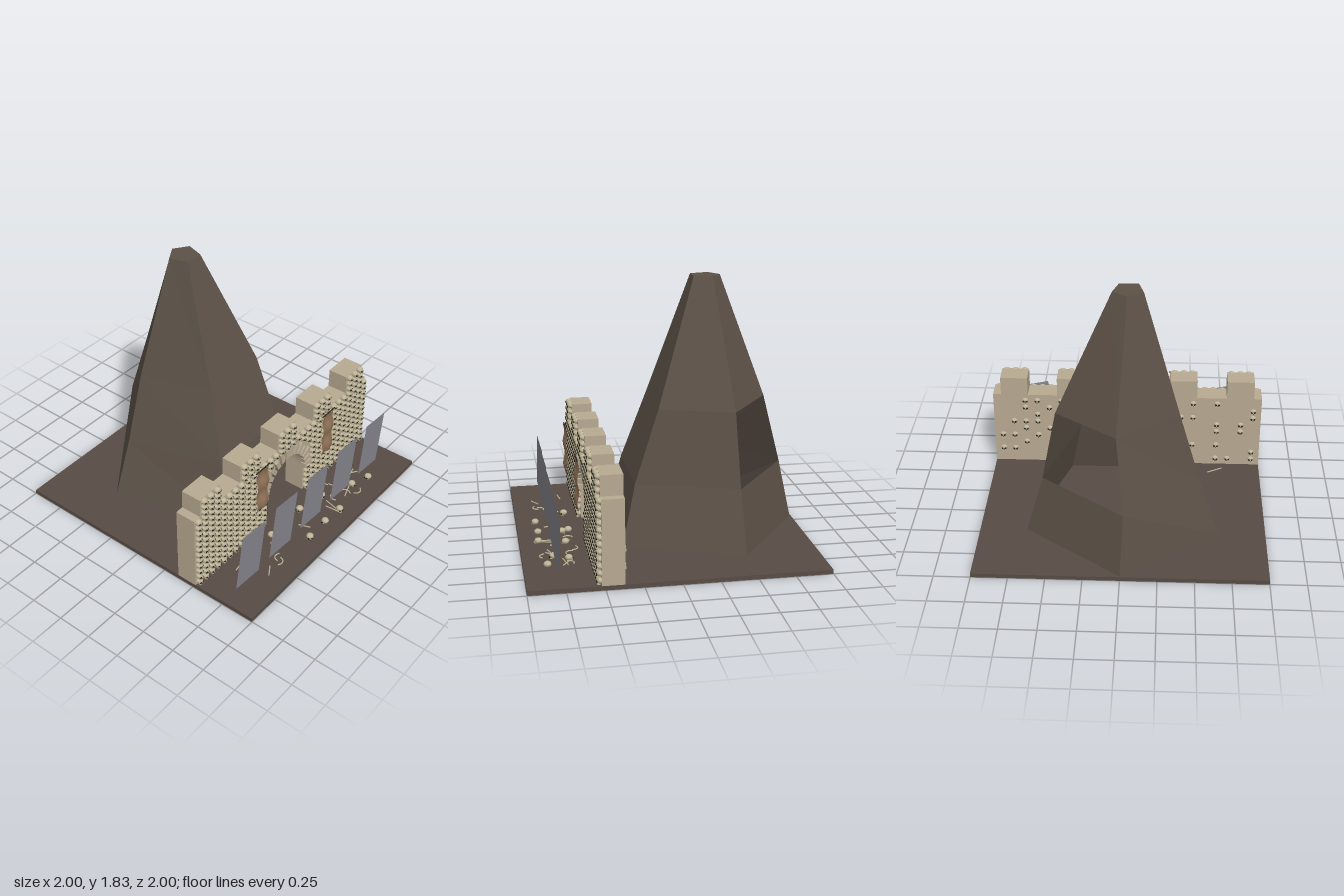
import * as THREE from 'three';
import { mergeGeometries } from 'three/addons/utils/BufferGeometryUtils.js';

const mat = (name, color, side = THREE.FrontSide, flatShading = false) => {
  const m = new THREE.MeshStandardMaterial({ color, side, flatShading });
  m.name = name;
  return m;
};

export function createModel() {
  const root = new THREE.Group();
  const rock = mat('rock', 0x5c5147, THREE.DoubleSide, true);
  const earth = mat('earth', 0x584c44);
  const stone = mat('wall stone', 0xb8aa92);
  const bone = mat('bone', 0xbfb598);
  const dark = mat('socket', 0x2b2620, THREE.DoubleSide);
  const slate = mat('slate', 0x85858c, THREE.DoubleSide);
  const cloth = mat('cloth', 0x937459, THREE.DoubleSide);

  const add = (name, geometry, material, parent = root) => {
    const m = new THREE.Mesh(geometry, material);
    m.name = name;
    parent.add(m);
    return m;
  };
  let seed = 7;
  const rand = () => (seed = (seed * 16807) % 2147483647) / 2147483647;

  add('ground', new THREE.BoxGeometry(2, 0.03, 2).translate(0, 0.015, 0), earth);

  // Five-sided peak: rings of [x, z], starting at the back corner
  const rings = [
    [0.03, [0, -0.99], [0.67, -0.5], [0.41, 0.31], [-0.41, 0.31], [-0.67, -0.5]],
    [0.46, [-0.02, -0.9], [0.55, -0.48], [0.33, 0.21], [-0.33, 0.21], [-0.53, -0.475]],
    [0.97, [0.03, -0.76], [0.45, -0.46], [0.29, 0.04], [-0.225, 0.04], [-0.385, -0.46]],
    [1.83, [-0.03, -0.445], [0.07, -0.375], [0.03, -0.25], [-0.1, -0.25], [-0.135, -0.38]],
  ];
  const pos = [];
  const point = (r, i) => pos.push(rings[r][1 + (i % 5)][0], rings[r][0], rings[r][1 + (i % 5)][1]);
  for (let r = 0; r < 3; r++) {
    for (let i = 0; i < 5; i++) {
      if (r === 1 && i === 0) continue; // open cave panel at the rear
      for (const [dr, di] of [[0, 0], [1, 0], [1, 1], [0, 0], [1, 1], [0, 1]]) point(r + dr, i + di);
    }
  }
  for (let i = 1; i < 4; i++) [0, i + 1, i].forEach((k) => point(3, k));
  const peak = new THREE.BufferGeometry();
  peak.setAttribute('position', new THREE.Float32BufferAttribute(pos, 3));
  peak.computeVertexNormals();
  add('mountain', peak, rock);

  // Crenellated wall with an arched gate
  const merlons = [-0.84, -0.42, 0, 0.42, 0.84];
  const archY = 0.27, archR = 0.225;
  const s = new THREE.Shape();
  s.moveTo(-1, 0.03);
  s.lineTo(-archR, 0.03);
  s.lineTo(-archR, archY);
  s.absarc(0, archY, archR, Math.PI, 0, true);
  s.lineTo(archR, 0.03);
  s.lineTo(1, 0.03);
  s.lineTo(1, 0.61);
  for (const x of [...merlons].reverse()) {
    s.lineTo(x + 0.1, 0.61);
    s.lineTo(x + 0.1, 0.75);
    s.lineTo(x - 0.1, 0.75);
    s.lineTo(x - 0.1, 0.61);
  }
  s.lineTo(-1, 0.61);
  add('wall', new THREE.ExtrudeGeometry(s, { depth: 0.15, bevelEnabled: false, curveSegments: 16 })
    .translate(0, 0, 0.375), stone);

  // Skull parts, facing +z
  const craniumGeo = mergeGeometries([
    new THREE.SphereGeometry(1, 9, 7).scale(0.027, 0.021, 0.027).translate(0, 0.004, 0),
    new THREE.BoxGeometry(0.026, 0.02, 0.022).translate(0, -0.013, 0.013),
  ]);
  const disc = (r, x, y, z, ry) => new THREE.CircleGeometry(r, 7).rotateY(ry).translate(x, y, z);
  const socketGeo = mergeGeometries([
    disc(0.0085, -0.011, -0.001, 0.0265, -0.4),
    disc(0.0085, 0.011, -0.001, 0.0265, 0.4),
    disc(0.004, 0, -0.011, 0.028, 0),
  ]);
  const skullSet = (name, spots) => {
    const g = new THREE.Group();
    g.name = name;
    root.add(g);
    const place = (geo) => mergeGeometries(spots.map(([x, y, z, ry = 0]) =>
      geo.clone().rotateY(ry).translate(x, y, z)));
    add(name + 'Bone', place(craniumGeo), bone, g);
    add(name + 'Sockets', place(socketGeo), dark, g);
  };

  // Skulls packed over the front, leaving the gate clear
  const clear = (x, y, r) => (y < archY ? Math.abs(x) > archR + 0.025 : Math.hypot(x, y - archY) > r);
  const front = [];
  for (let row = 0; row < 12; row++) {
    for (let c = 0; c < 31; c++) {
      const x = (c - 15) * 0.0645, y = 0.054 + row * 0.0485;
      if (clear(x, y, 0.315)) front.push([x, y, 0.53]);
    }
  }
  for (const m of merlons)
    for (let row = 0; row < 3; row++)
      for (let c = -1; c < 2; c++) front.push([m + c * 0.066, 0.636 + row * 0.0465, 0.53]);
  skullSet('frontSkulls', front);

  // Sparse skulls set in the back face
  const back = [];
  for (let row = 0; row < 9; row++) {
    for (let c = 0; c < 22; c++) {
      const x = -0.94 + c * 0.0895, y = 0.08 + row * 0.06;
      if (rand() < 0.33 && clear(x, y, 0.26)) back.push([x, y, 0.386, Math.PI]);
    }
  }
  skullSet('backSkulls', back);

  // Radial stones around the gate
  const stones = [];
  for (let i = 0; i < 15; i++) {
    const len = i % 2 ? 0.07 : 0.088;
    stones.push(new THREE.BoxGeometry(0.036, len, 0.035)
      .translate(0, 0.215 + len / 2, 0)
      .rotateZ(Math.PI / 2 - (i / 14) * Math.PI)
      .translate(0, archY, 0.53));
  }
  add('archStones', mergeGeometries(stones), stone);

  // Hanging banners with rods
  for (const side of [-1, 1]) {
    const g = new THREE.PlaneGeometry(0.14, 0.36, 8, 14);
    const p = g.attributes.position;
    for (let i = 0; i < p.count; i++)
      p.setZ(i, 0.007 * Math.sin(p.getY(i) * 38) + 0.005 * Math.sin(p.getX(i) * 70));
    g.computeVertexNormals();
    add('banner', g, cloth).position.set(side * 0.385, 0.51, 0.615);
    add('bannerRod', new THREE.CylinderGeometry(0.005, 0.005, 0.15, 6).rotateZ(Math.PI / 2), dark)
      .position.set(side * 0.385, 0.692, 0.615);
  }

  // Row of leaning slabs
  for (let i = -2; i <= 2; i++) {
    const slab = add('slab', new THREE.PlaneGeometry(0.275, 0.408), slate);
    slab.position.set(i * 0.366, 0.267, 0.783);
    slab.rotation.set(0, 0.06, -0.175);
  }

  // Loose skulls and bones on the ground
  skullSet('looseSkulls', [[-0.31, 0.645], [0.03, 0.645], [0.05, 0.69], [0.25, 0.685], [-0.155, 0.865],
    [0.04, 0.86], [0.21, 0.87], [0.49, 0.79], [0.63, 0.84], [0.54, 0.69]]
    .map(([x, z]) => [x, 0.045, z, rand() * 6]));
  const bones = [];
  const lay = (pts) => bones.push(new THREE.TubeGeometry(
    new THREE.CatmullRomCurve3(pts.map(([x, z]) => new THREE.Vector3(x, 0.034, z))), 8, 0.005, 5));
  for (const [x1, z1, x2, z2] of [[-0.73, 0.655, -0.63, 0.64], [-0.72, 0.31, -0.61, 0.25],
    [-0.63, 0.86, -0.55, 0.81], [-0.37, 0.68, -0.34, 0.76], [-0.1, 0.73, -0.07, 0.81],
    [0.18, 0.77, 0.19, 0.9], [0.2, 0.86, 0.23, 0.74], [-0.02, 0.72, 0.08, 0.67],
    [0.55, 0.68, 0.64, 0.74], [0.52, 0.73, 0.64, 0.7], [0.35, 0.82, 0.47, 0.78]])
    lay([[x1, z1], [x2, z2]]);
  // Curved ribs
  for (const [x, z, a] of [[-0.48, 0.82, 0], [-0.44, 0.82, 3], [0.16, 0.66, 2], [0.24, 0.66, 1],
    [0.34, 0.65, 4], [0.43, 0.66, 1], [0.31, 0.77, 2.5], [0.38, 0.8, 5], [0.46, 0.84, 0.5], [0.6, 0.7, 3]])
    lay([0, 0.8, 1.6, 2.4].map((t) => [x + 0.04 * Math.cos(a + t), z + 0.04 * Math.sin(a + t)]));
  add('looseBones', mergeGeometries(bones), bone);

  return root;
}
